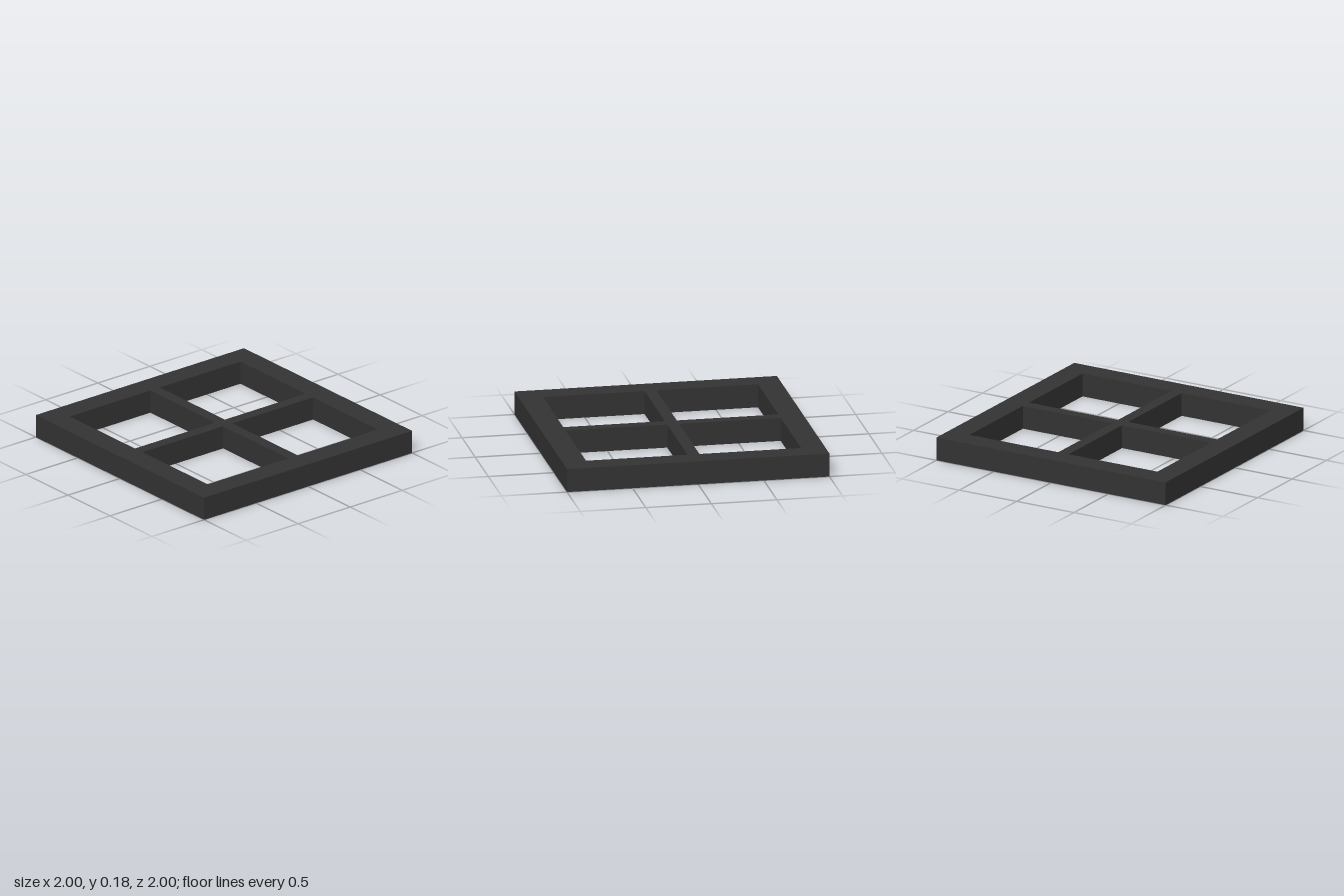
import * as THREE from 'three';

const SIZE = 2;       // outer side of the square frame
const HEIGHT = 0.18;  // thickness of every member
const RAIL = 0.18;    // width of the outer rails
const BAR = 0.09;     // width of the inner cross bars

export function createModel() {
  const model = new THREE.Group();
  model.name = 'windowFrame';
  const material = new THREE.MeshStandardMaterial({ color: 0x333333 });

  const addBeam = (name, width, depth, x, z) => {
    const beam = new THREE.Mesh(new THREE.BoxGeometry(width, HEIGHT, depth), material);
    beam.name = name;
    beam.position.set(x, HEIGHT / 2, z);
    model.add(beam);
  };

  const inner = SIZE - 2 * RAIL;
  const railOffset = (SIZE - RAIL) / 2;
  const halfBar = (inner - BAR) / 2;

  // Long bar runs front to back between the rails
  addBeam('longBar', BAR, inner, 0, 0);

  for (const [side, end, s] of [['left', 'front', 1], ['right', 'back', -1]]) {
    // Outer rails: the side rails run full length, the end rails fit between them
    addBeam(`${side}Rail`, RAIL, SIZE, s * railOffset, 0);
    addBeam(`${end}Rail`, inner, RAIL, 0, s * railOffset);
    // Short bars butt against the long bar, flush on top and bottom
    addBeam(`${side}ShortBar`, halfBar, BAR, s * (BAR + halfBar) / 2, 0);
  }

  return model;
}
